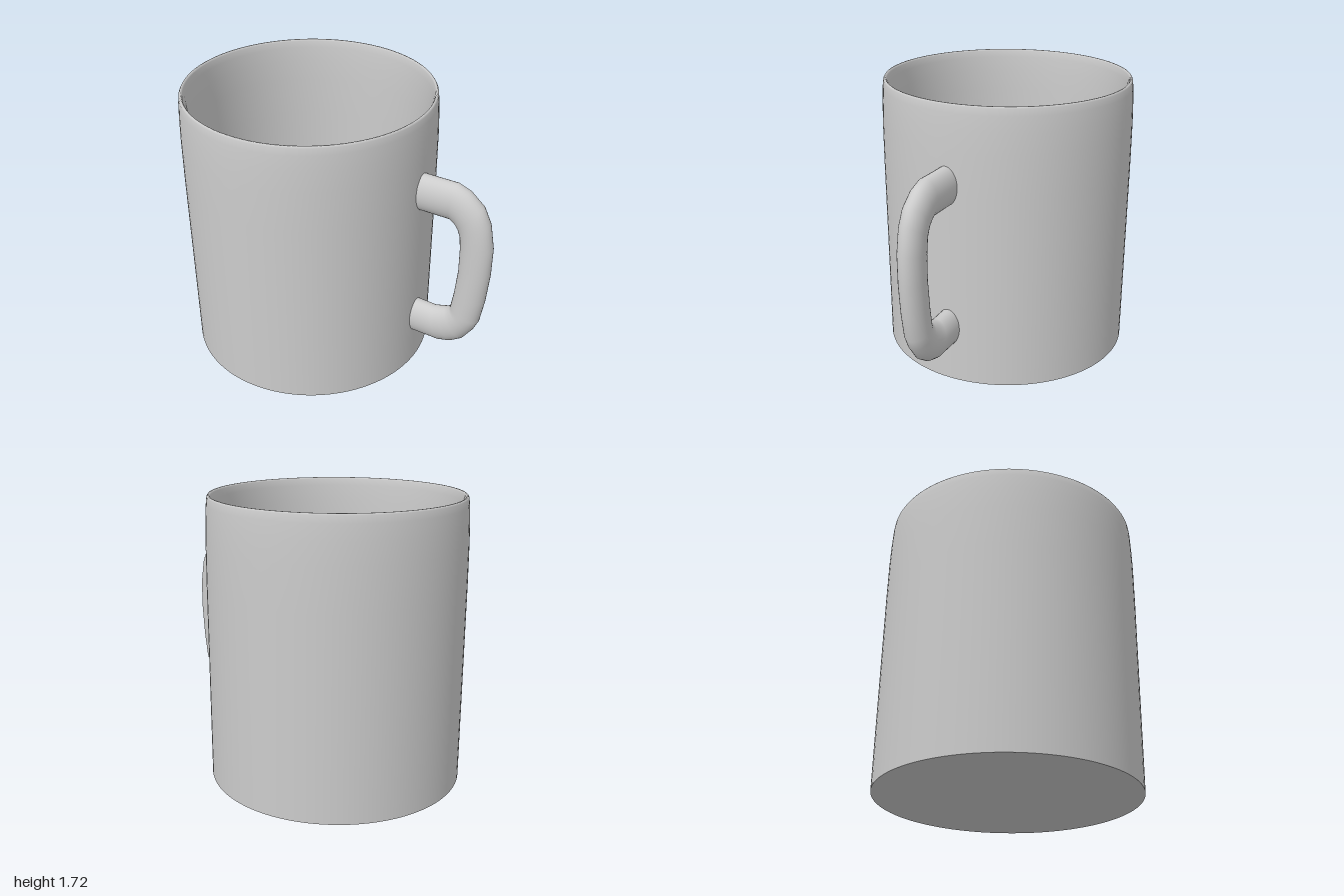
import * as THREE from 'three';

const material = new THREE.MeshStandardMaterial({ color: 0xcccccc });
const SEGMENTS = 96;

function addMesh(parent, name, geometry) {
  const mesh = new THREE.Mesh(geometry, material);
  mesh.name = name;
  parent.add(mesh);
  return mesh;
}

// Lofts elliptical rings between the outer and inner edges of the handle.
function handleGeometry(edges, halfWidth, sides) {
  const positions = [];
  const indices = [];
  edges.forEach(([ox, oy, ix, iy], row) => {
    const cx = (ox + ix) / 2, cy = (oy + iy) / 2;
    for (let i = 0; i < sides; i++) {
      const a = (i / sides) * Math.PI * 2;
      const c = Math.cos(a);
      positions.push(cx + (ox - cx) * c, cy + (oy - cy) * c, halfWidth * Math.sin(a));
      if (row === 0) continue;
      const j = (i + 1) % sides;
      const p = (row - 1) * sides, q = row * sides;
      indices.push(p + i, p + j, q + i, p + j, q + j, q + i);
    }
  });
  const geometry = new THREE.BufferGeometry();
  geometry.setAttribute('position', new THREE.Float32BufferAttribute(positions, 3));
  geometry.setIndex(indices);
  geometry.computeVertexNormals();
  return geometry;
}

export function createModel() {
  const mug = new THREE.Group();
  mug.name = 'mug';

  const body = new THREE.Group();
  body.name = 'body';
  body.position.x = -0.23;
  mug.add(body);

  // Outer wall, tapered rim and inner wall in one profile
  const profile = [
    [0.77, 0], [0.77, 1.2], [0.768, 1.45], [0.764, 1.58], [0.759, 1.67], [0.754, 1.71],
    [0.748, 1.72], [0.74, 1.72], [0.734, 1.71], [0.728, 1.67], [0.722, 1.58],
    [0.717, 1.45], [0.715, 1.2], [0.715, 0.06],
  ].map(([r, y]) => new THREE.Vector2(r, y));
  addMesh(body, 'wall', new THREE.LatheGeometry(profile, SEGMENTS));

  // Inside floor and underside
  const floor = addMesh(body, 'innerFloor', new THREE.CircleGeometry(0.715, SEGMENTS));
  floor.rotation.x = -Math.PI / 2;
  floor.position.y = 0.06;
  const base = addMesh(body, 'base', new THREE.CircleGeometry(0.77, SEGMENTS));
  base.rotation.x = Math.PI / 2;

  // Handle: outer x, y and inner x, y of each ring, from top to bottom
  const edges = [
    [0.52, 1.365, 0.52, 1.13], [0.75, 1.365, 0.73, 1.13], [0.83, 1.335, 0.76, 1.11],
    [0.92, 1.26, 0.78, 1.08], [0.97, 1.16, 0.795, 1.04], [1.0, 1.0, 0.803, 0.96],
    [1.0, 0.82, 0.805, 0.8], [0.985, 0.63, 0.79, 0.63], [0.96, 0.47, 0.775, 0.53],
    [0.93, 0.4, 0.77, 0.51], [0.87, 0.31, 0.74, 0.49], [0.8, 0.26, 0.7, 0.478],
    [0.72, 0.235, 0.66, 0.465], [0.52, 0.235, 0.52, 0.47],
  ];
  addMesh(mug, 'handle', handleGeometry(edges, 0.074, 32));

  return mug;
}
